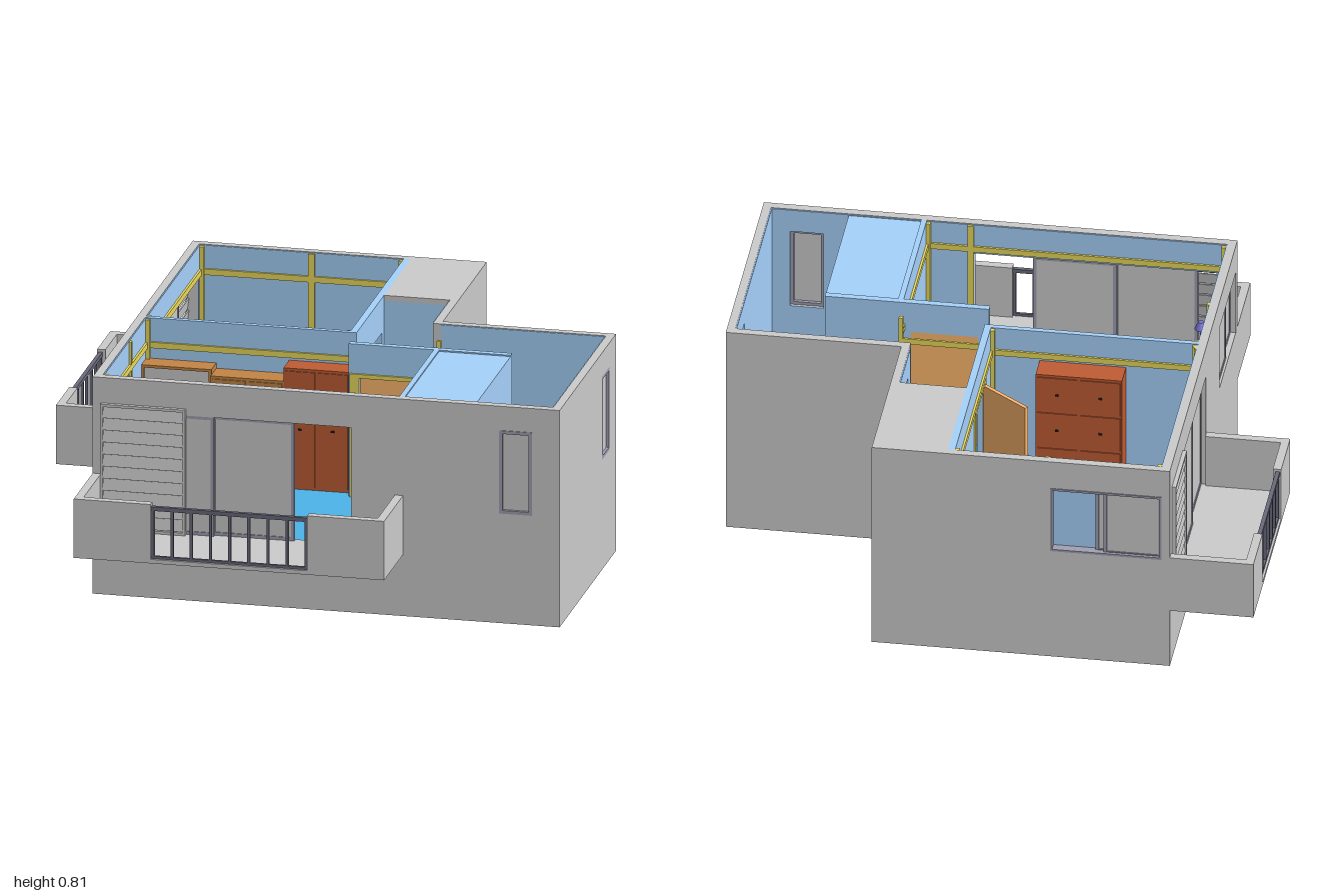
import * as THREE from 'three';

const C = {
  grey: 0xcccccc, wall: 0xa6d2fc, blue: 0x4cb4e8, green: 0x4dc449, orange: 0xffb86e, red: 0xbe5c34,
  brown: 0xc38445, yellow: 0xebda5c, frame: 0xa0a0b2, rail: 0x6a6a7c, purple: 0x7a72d0, dark: 0x222222,
};
const mats = {};
const mat = (c) => (mats[c] ??= new THREE.MeshStandardMaterial({ color: C[c] }));

function add(parent, name, geo, color) {
  const m = new THREE.Mesh(geo, mat(color));
  m.name = name;
  parent.add(m);
  return m;
}

// Box given by its limits
function box(parent, name, x0, x1, y0, y1, z0, z1, color) {
  const m = add(parent, name, new THREE.BoxGeometry(x1 - x0, y1 - y0, z1 - z0), color);
  m.position.set((x0 + x1) / 2, (y0 + y1) / 2, (z0 + z1) / 2);
  return m;
}

// Upright slab with rectangular holes [u0, u1, y0, y1]; axis 'x' runs along x, 'z' along z
function slab(parent, name, axis, u0, u1, y0, y1, w0, w1, color, holes = []) {
  const rect = (T, a, b, c, d) => new T([[a, c], [b, c], [b, d], [a, d]].map((p) => new THREE.Vector2(...p)));
  const s = rect(THREE.Shape, u0, u1, y0, y1);
  s.holes = holes.map((h) => rect(THREE.Path, ...h));
  const m = add(parent, name, new THREE.ExtrudeGeometry(s, { depth: w1 - w0, bevelEnabled: false }), color);
  if (axis === 'x') m.position.z = w0;
  else { m.rotation.y = -Math.PI / 2; m.position.x = w1; }
  return m;
}

// Framed pane
function pane(parent, name, axis, u0, u1, y0, y1, w0, w1, t = 0.012) {
  const g = new THREE.Group();
  g.name = name;
  parent.add(g);
  slab(g, 'paneFrame', axis, u0, u1, y0, y1, w0, w1, 'frame', [[u0 + t, u1 - t, y0 + t, y1 - t]]);
  const m = (w0 + w1) / 2;
  slab(g, 'glass', axis, u0 + t, u1 - t, y0 + t, y1 - t, m - 0.002, m + 0.002, 'grey');
}

// Balcony with railing, louvred shutter and sliding doors; local z points outward
function balcony(house, name, [u0, u1], [g0, g1], [s0, s1], doors) {
  const g = new THREE.Group();
  g.name = name;
  house.add(g);
  const D = 0.3, T = 0.03;
  box(g, 'balconyFloor', u0, u1, 0.23, 0.245, 0, D, 'grey');
  for (const [a, b] of [[u0, g0], [g1, u1]]) box(g, 'parapet', a, b, 0.23, 0.45, D - T, D, 'grey');
  for (const a of [u0, u1 - T]) box(g, 'sideParapet', a, a + T, 0.23, 0.45, 0, D - T, 'grey');
  box(g, 'topRail', g0, g1, 0.425, 0.44, D - 0.02, D - 0.005, 'rail');
  box(g, 'bottomRail', g0, g1, 0.245, 0.255, D - 0.018, D - 0.008, 'rail');
  const n = Math.round((g1 - g0) / 0.07);
  for (let i = 0; i <= n; i++) {
    const u = g0 + 0.006 + ((g1 - g0 - 0.012) * i) / n;
    box(g, 'baluster', u - 0.005, u + 0.005, 0.25, 0.43, D - 0.018, D - 0.008, 'rail');
  }
  slab(g, 'shutterFrame', 'x', s0, s1, 0.245, 0.715, 0, 0.015, 'grey', [[s0 + 0.01, s1 - 0.01, 0.255, 0.705]]);
  for (let i = 0; i < 10; i++) {
    const m = box(g, 'louvre', s0 + 0.01, s1 - 0.01, 0.257 + i * 0.045, 0.3 + i * 0.045, 0.003, 0.008, 'grey');
    m.rotation.x = -0.15;
  }
  doors.forEach(([a, b], i) => pane(g, 'slidingDoor', 'x', a, b, 0.245, 0.69, -0.015 - i * 0.012, -0.004 - i * 0.012));
  return g;
}

// Cabinet with a grid of front panels facing dir along z
function cabinet(house, name, x0, x1, z0, z1, top, cols, rows, color, dir) {
  const g = new THREE.Group();
  g.name = name;
  house.add(g);
  box(g, 'body', x0, x1, 0.24, top, z0, z1, color);
  const f = dir > 0 ? z1 : z0, w = (x1 - x0) / cols, h = (top - 0.25) / rows;
  for (let c = 0; c < cols; c++) for (let r = 0; r < rows; r++) {
    const x = x0 + c * w, y = 0.245 + r * h;
    box(g, 'frontPanel', x + 0.006, x + w - 0.006, y + 0.005, y + h - 0.005, f - 0.004, f + 0.004, color);
    box(g, 'knob', x + w / 2 - 0.006, x + w / 2 + 0.006, y + h / 2 - 0.003, y + h / 2 + 0.003, f - 0.009, f + 0.009, 'dark');
  }
}

// Door leaf hinged at its local origin
function door(house, name, x, z, angle, w, y0, y1) {
  const g = new THREE.Group();
  g.name = name;
  box(g, 'leaf', 0, w, y0, y1, -0.007, 0.007, 'orange');
  for (const s of [-1, 1]) {
    const k = add(g, 'doorKnob', new THREE.SphereGeometry(0.009, 10, 8), 'brown');
    k.position.set(w - 0.02, (y0 + y1) / 2, s * 0.016);
  }
  g.position.set(x, 0, z);
  g.rotation.y = angle;
  house.add(g);
}

// Small table or stool with crossed legs
function trestle(house, name, x, z, w, d, h, angle) {
  const g = new THREE.Group();
  g.name = name;
  for (const s of [-1, 1]) box(g, 'topBoard', -w / 2, w / 2, h - 0.01, h, s > 0 ? 0.002 : -d / 2, s > 0 ? d / 2 : -0.002, 'orange');
  for (const s of [-1, 1]) for (const r of [-1, 1]) {
    const leg = add(g, 'crossLeg', new THREE.BoxGeometry(0.01, Math.hypot(h, d), 0.01), 'orange');
    leg.position.set(s * w * 0.38, h / 2, 0);
    leg.rotation.x = r * Math.atan2(d, h);
  }
  g.position.set(x, 0.24, z);
  g.rotation.y = angle;
  house.add(g);
}

export function createModel() {
  const house = new THREE.Group();
  house.name = 'house';
  const H = 0.81;

  // Outer walls: name, axis, u0, u1, outer w0, w1, lining side, holes
  const walls = [
    ['backWall', 'x', -0.7, 0.37, -0.94, -0.91, 1, [[-0.67, -0.27, 0.44, 0.7]]],
    ['frontWall', 'x', -0.7, 1, 0.608, 0.64, -1, [[-0.66, 0.24, 0.245, 0.69], [0.78, 0.9, 0.41, 0.72]]],
    ['leftWall', 'z', -0.91, 0.608, -0.7, -0.67, 1, [[-0.88, -0.1, 0.245, 0.69], [0.22, 0.6, 0.45, 0.7]]],
    ['rightWall', 'z', -0.22, 0.608, 0.97, 1, -1, [[-0.15, -0.03, 0.41, 0.72]]],
    ['recessBackWall', 'x', 0.34, 1, -0.25, -0.22, 1, []],
    ['recessSideWall', 'z', -0.91, -0.25, 0.34, 0.37, -1, [[-0.43, -0.31, 0.41, 0.72]]],
  ];
  for (const [name, axis, u0, u1, w0, w1, side, holes] of walls) {
    slab(house, name, axis, u0, u1, 0, H, w0, w1, 'grey', holes);
    const l = side > 0 ? w1 : w0 - 0.004, e = axis === 'x' ? 0.03 : 0;
    slab(house, name + 'Lining', axis, u0 + e, u1 - e, 0.002, H - 0.002, l, l + 0.004, 'wall', holes);
  }

  // Floors, bathroom roof
  box(house, 'greenFloor', -0.67, 0.1, 0.225, 0.24, -0.91, -0.06, 'green');
  box(house, 'bathroomFloor', 0.1, 0.34, 0.225, 0.24, -0.91, -0.49, 'green');
  box(house, 'blueFloor', -0.67, 0.41, 0.225, 0.24, -0.06, 0.608, 'blue');
  box(house, 'hallFloor', 0.1, 0.34, 0.225, 0.24, -0.49, 0.045, 'blue');
  box(house, 'landing', 0.34, 0.46, 0.225, 0.24, -0.22, 0.045, 'blue');
  box(house, 'bathroomRoof', 0.1, 0.345, H - 0.02, H, -0.915, -0.49, 'grey');
  box(house, 'bathroomWall', 0.1, 0.34, 0.24, H - 0.02, -0.505, -0.49, 'wall');

  // Stairs going down
  for (let i = 0; i < 4; i++) {
    const x = 0.46 + i * 0.0525, y = 0.192 - i * 0.048;
    box(house, 'stairTread', x, x + 0.0525, y - 0.012, y, -0.22, 0.045, 'blue');
    box(house, 'stairRiser', x - 0.004, x, y - 0.012, y + 0.048, -0.22, 0.045, 'blue');
  }

  // Inner walls
  slab(house, 'roomPartition', 'x', -0.67, 0.1, 0.24, H, -0.075, -0.055, 'wall');
  slab(house, 'greenRoomWall', 'z', -0.91, -0.055, 0.24, H, 0.075, 0.1, 'wall', [[-0.46, -0.24, 0.245, 0.68]]);
  slab(house, 'hallWall', 'x', 0.1, 0.69, 0, H, 0.045, 0.07, 'wall', [[0.14, 0.38, 0.245, 0.69]]);
  slab(house, 'blueRoomWall', 'z', 0.07, 0.608, 0.225, H, 0.41, 0.43, 'wall');
  slab(house, 'stairwellWall', 'z', 0.07, 0.608, 0, H - 0.01, 0.67, 0.69, 'wall');
  box(house, 'closetTop', 0.43, 0.69, H - 0.03, H - 0.005, 0.07, 0.61, 'wall');

  // Yellow timber trim around both rooms
  for (const [x0, x1, z0, z1] of [[-0.665, 0.075, -0.905, -0.075], [-0.665, 0.41, -0.055, 0.603]]) {
    const t = 0.008;
    for (const z of [z0, z1 - t]) box(house, 'trimRail', x0, x1, 0.7, 0.722, z, z + t, 'yellow');
    for (const x of [x0, x1 - t]) box(house, 'trimRail', x, x + t, 0.7, 0.722, z0, z1, 'yellow');
    for (const x of [x0, x1 - 0.015]) for (const z of [z0, z1 - 0.015])
      box(house, 'cornerPost', x, x + 0.015, 0.24, H - 0.004, z, z + 0.015, 'yellow');
  }
  for (const x of [-0.27, 0.24]) {
    const z = x < 0 ? -0.906 : 0.595;
    box(house, 'trimPost', x, x + 0.022, 0.24, H - 0.004, z, z + 0.009, 'yellow');
  }
  for (const z of [-0.1, 0.2]) box(house, 'trimPost', -0.666, -0.657, 0.24, H - 0.004, z, z + 0.018, 'yellow');
  box(house, 'windowSill', -0.665, -0.27, 0.42, 0.44, -0.906, -0.895, 'yellow');
  box(house, 'windowSill', -0.666, -0.655, 0.43, 0.45, 0.2, 0.603, 'yellow');
  slab(house, 'hallDoorFrame', 'x', 0.105, 0.4, 0.24, 0.7, 0.068, 0.078, 'yellow', [[0.14, 0.38, 0.245, 0.685]]);
  slab(house, 'greenDoorFrame', 'z', -0.475, -0.225, 0.24, 0.695, 0.068, 0.078, 'yellow', [[-0.46, -0.24, 0.245, 0.68]]);

  // Windows
  pane(house, 'frontWindow', 'x', 0.78, 0.9, 0.41, 0.72, 0.615, 0.643);
  pane(house, 'rightWindow', 'z', -0.15, -0.03, 0.41, 0.72, 0.975, 1);
  pane(house, 'recessWindow', 'z', -0.43, -0.31, 0.41, 0.72, 0.345, 0.37);
  pane(house, 'backSash', 'x', -0.67, -0.46, 0.44, 0.7, -0.932, -0.922);
  pane(house, 'backSash', 'x', -0.64, -0.43, 0.44, 0.7, -0.921, -0.911);
  pane(house, 'leftSash', 'z', 0.22, 0.42, 0.45, 0.7, -0.692, -0.682);
  pane(house, 'leftSash', 'z', 0.4, 0.6, 0.45, 0.7, -0.681, -0.671);
  slab(house, 'backWindowFrame', 'x', -0.67, -0.27, 0.44, 0.7, -0.943, -0.908, 'frame', [[-0.662, -0.278, 0.448, 0.692]]);

  // Balconies
  balcony(house, 'frontBalcony', [-0.7, 0.43], [-0.42, 0.15], [-0.67, -0.36], [[-0.56, -0.26], [-0.27, 0.03]]).position.z = 0.64;
  const left = balcony(house, 'leftBalcony', [-0.94, -0.08], [-0.73, -0.29], [-0.89, -0.64], [[-0.66, -0.37], [-0.39, -0.1]]);
  left.rotation.y = -Math.PI / 2;
  left.position.x = -0.7;

  // Doors
  door(house, 'hallDoor', 0.38, 0.052, Math.PI, 0.24, 0.245, 0.69);
  door(house, 'greenRoomDoor', 0.072, -0.245, Math.PI - 0.65, 0.215, 0.25, 0.675);
  box(house, 'entranceDoor', 0.44, 0.67, 0.005, 0.42, 0.59, 0.602, 'orange');
  box(house, 'entranceDoorPost', 0.42, 0.44, 0.005, 0.43, 0.588, 0.603, 'yellow');

  // Cabinets along the partition
  cabinet(house, 'drawerCabinet', -0.41, -0.145, -0.054, 0.035, 0.64, 2, 4, 'brown', 1);
  cabinet(house, 'wardrobe', -0.145, 0.095, -0.054, 0.035, 0.69, 2, 1, 'red', 1);
  cabinet(house, 'dresser', -0.41, -0.1, -0.17, -0.076, 0.69, 2, 3, 'red', -1);

  // Bookcase with a panelled top and rows of books
  box(house, 'bookcaseBack', -0.665, -0.41, 0.24, 0.66, -0.054, -0.045, 'brown');
  for (const x of [-0.665, -0.42]) box(house, 'bookcaseSide', x, x + 0.01, 0.24, 0.66, -0.045, 0.025, 'brown');
  for (const y of [0.24, 0.33, 0.42, 0.52, 0.65]) box(house, 'bookcaseShelf', -0.655, -0.42, y, y + 0.01, -0.045, 0.025, 'brown');
  box(house, 'bookcaseGlass', -0.655, -0.42, 0.53, 0.65, 0.01, 0.016, 'grey');
  const tones = ['green', 'purple', 'red', 'blue', 'yellow', 'dark'];
  for (let r = 0; r < 3; r++) for (let i = 0; i < 15; i++) {
    const x = -0.652 + i * 0.0153, y = 0.25 + r * 0.09 + (r === 2 ? 0.005 : 0);
    box(house, 'book', x, x + 0.013, y, y + 0.055 + ((i * 7 + r) % 4) * 0.006, -0.045, 0.012, tones[(i * 5 + r * 2 + (i >> 2)) % 6]);
  }

  // Desk, lamp and chair
  box(house, 'deskTop', -0.665, -0.49, 0.385, 0.4, 0.22, 0.602, 'brown');
  for (const z of [0.225, 0.5]) box(house, 'deskSide', -0.665, -0.5, 0.24, 0.385, z, z + 0.09, 'brown');
  const lamp = new THREE.Group();
  lamp.name = 'deskLamp';
  add(lamp, 'lampBase', new THREE.CylinderGeometry(0.022, 0.022, 0.008, 16), 'purple').position.y = 0.004;
  add(lamp, 'lampStem', new THREE.CylinderGeometry(0.004, 0.004, 0.08, 8), 'purple').position.y = 0.045;
  add(lamp, 'lampShade', new THREE.CylinderGeometry(0.01, 0.024, 0.028, 16), 'purple').position.y = 0.088;
  lamp.position.set(-0.58, 0.4, 0.57);
  house.add(lamp);
  box(house, 'chairSeat', -0.53, -0.45, 0.32, 0.335, 0.385, 0.475, 'purple');
  box(house, 'chairBack', -0.455, -0.443, 0.36, 0.43, 0.385, 0.475, 'purple');
  box(house, 'chairSpine', -0.445, -0.438, 0.32, 0.4, 0.42, 0.44, 'dark');
  box(house, 'chairPost', -0.495, -0.485, 0.25, 0.32, 0.425, 0.435, 'dark');
  for (const a of [0, Math.PI / 2]) box(house, 'chairFoot', -0.53, -0.45, 0.242, 0.252, 0.425, 0.435, 'dark').rotation.y = a;

  // Folding table and stool
  trestle(house, 'foldingTable', -0.05, -0.82, 0.13, 0.12, 0.12, -0.5);
  trestle(house, 'stool', -0.01, -0.7, 0.075, 0.055, 0.07, 0.45);

  return house;
}
